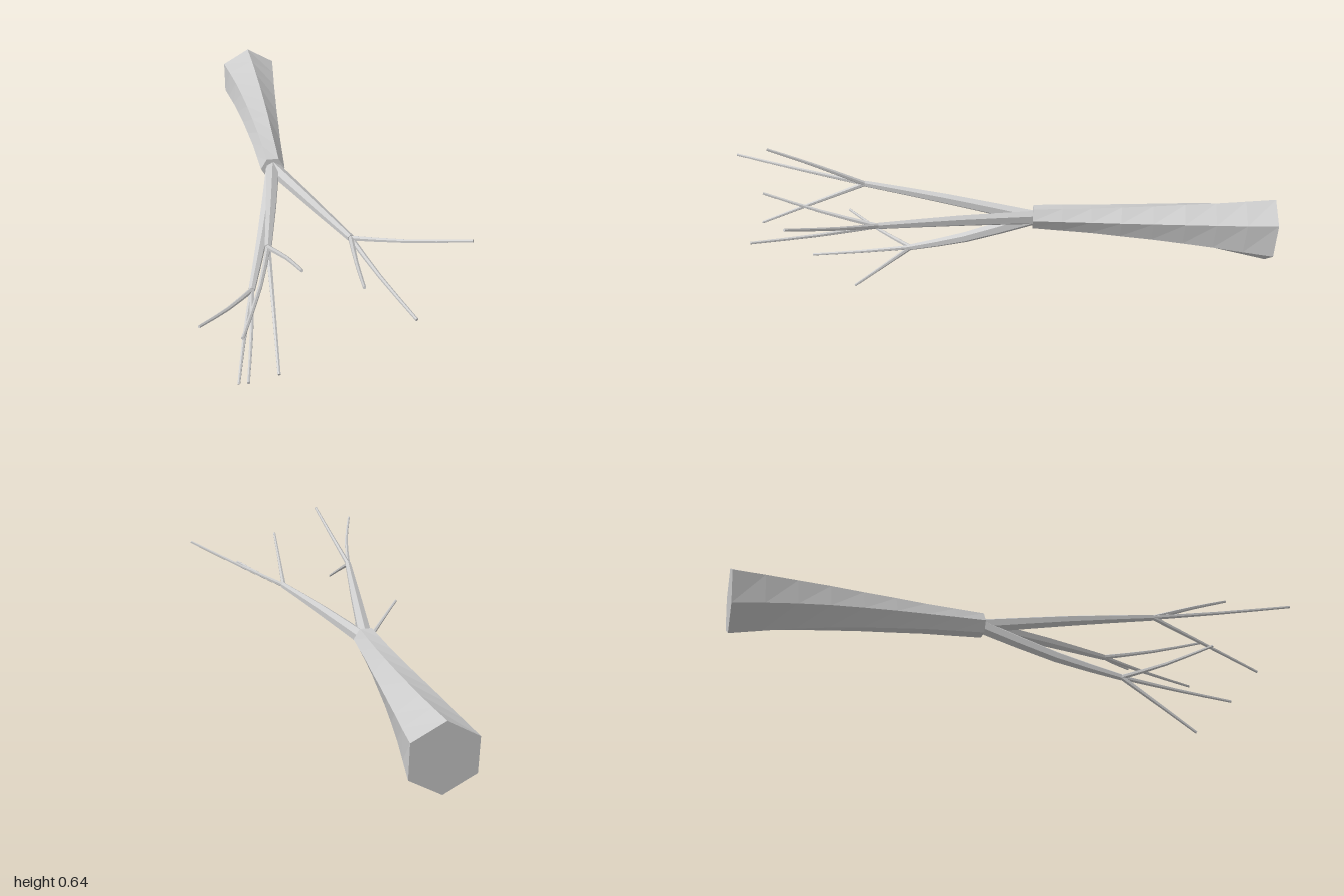
import * as THREE from 'three';

const material = new THREE.MeshStandardMaterial({ color: 0xcccccc, flatShading: true });
const UP = new THREE.Vector3(0, 1, 0);
const SIDES = 6;

// Tapered six-sided limb: rings swept along a smooth path, turned by `twist` over its length, closed at both ends
function limb(name, points, radii, steps, twist = 0) {
  const curve = new THREE.CatmullRomCurve3(points.map(p => new THREE.Vector3(...p)));
  const pos = [], idx = [];
  const last = radii.length - 1;
  for (let i = 0; i <= steps; i++) {
    const t = i / steps;
    const centre = curve.getPoint(t), dir = curve.getTangent(t);
    const u = UP.clone().addScaledVector(dir, -UP.dot(dir)).normalize();
    const v = new THREE.Vector3().crossVectors(dir, u);
    const k = Math.min(Math.floor(t * last), last - 1);
    const r = THREE.MathUtils.lerp(radii[k], radii[k + 1], t * last - k);
    for (let j = 0; j < SIDES; j++) {
      const a = (j / SIDES) * Math.PI * 2 + twist * t;
      const p = centre.clone().addScaledVector(u, r * Math.cos(a)).addScaledVector(v, r * Math.sin(a));
      pos.push(p.x, p.y, p.z);
    }
  }
  for (let i = 0; i < steps; i++) {
    for (let j = 0; j < SIDES; j++) {
      const a = i * SIDES + j, b = i * SIDES + (j + 1) % SIDES;
      idx.push(a, b, a + SIDES, b, b + SIDES, a + SIDES);
    }
  }
  const end = steps * SIDES;
  for (let j = 1; j < SIDES - 1; j++) {
    idx.push(0, j + 1, j, end, end + j, end + j + 1);
  }
  const geo = new THREE.BufferGeometry();
  geo.setAttribute('position', new THREE.Float32BufferAttribute(pos, 3));
  geo.setIndex(idx);
  const flat = geo.toNonIndexed();
  flat.computeVertexNormals();
  const mesh = new THREE.Mesh(flat, material);
  mesh.name = name;
  return mesh;
}

// Each bough runs from the trunk tip to a fork, where three twigs spread
const FORK_START = [-0.1, 0.393, -0.13];
const boughs = [
  {
    name: 'upper', mid: [-0.143, 0.443, 0.19], fork: [-0.188, 0.483, 0.5],
    twigs: [
      [[-0.152, 0.573, 0.69], [-0.13, 0.635, 0.84]],
      [[-0.238, 0.515, 0.74], [-0.312, 0.546, 1.0]],
      [[-0.196, 0.4, 0.7], [-0.205, 0.315, 0.9]],
    ],
  },
  {
    name: 'left', mid: [-0.005, 0.418, 0.15], fork: [0.09, 0.437, 0.42],
    twigs: [
      [[0.235, 0.49, 0.535], [0.416, 0.565, 0.67]],
      [[0.145, 0.424, 0.62], [0.21, 0.422, 0.84]],
      [[0.071, 0.482, 0.62], [0.055, 0.541, 0.82]],
    ],
  },
  {
    name: 'lower', mid: [-0.168, 0.28, 0.13], fork: [-0.23, 0.206, 0.345],
    twigs: [
      [[-0.32, 0.236, 0.475], [-0.419, 0.279, 0.605]],
      [[-0.273, 0.092, 0.475], [-0.302, 0.003, 0.58]],
      [[-0.252, 0.175, 0.54], [-0.282, 0.145, 0.735]],
    ],
  },
];

export function createModel() {
  const tree = new THREE.Group();
  tree.name = 'fallenTree';

  // Trunk flaring smoothly toward its cut base, its grain turning along the length
  tree.add(limb('trunk',
    [[-0.104, 0.352, -0.985], [-0.103, 0.373, -0.7], [-0.101, 0.387, -0.4], [-0.101, 0.396, -0.12]],
    [0.119, 0.092, 0.07, 0.053, 0.043], 8, -Math.PI / 6));

  for (const { name, mid, fork, twigs } of boughs) {
    const bough = new THREE.Group();
    bough.name = name + 'Bough';
    bough.add(limb(name + 'Branch', [FORK_START, mid, fork], [0.026, 0.02, 0.012], 4));
    twigs.forEach(([bend, tip], i) => {
      bough.add(limb(name + 'Twig' + (i + 1), [fork, bend, tip], [0.009, 0.0065, 0.005], 4));
    });
    tree.add(bough);
  }
  return tree;
}
